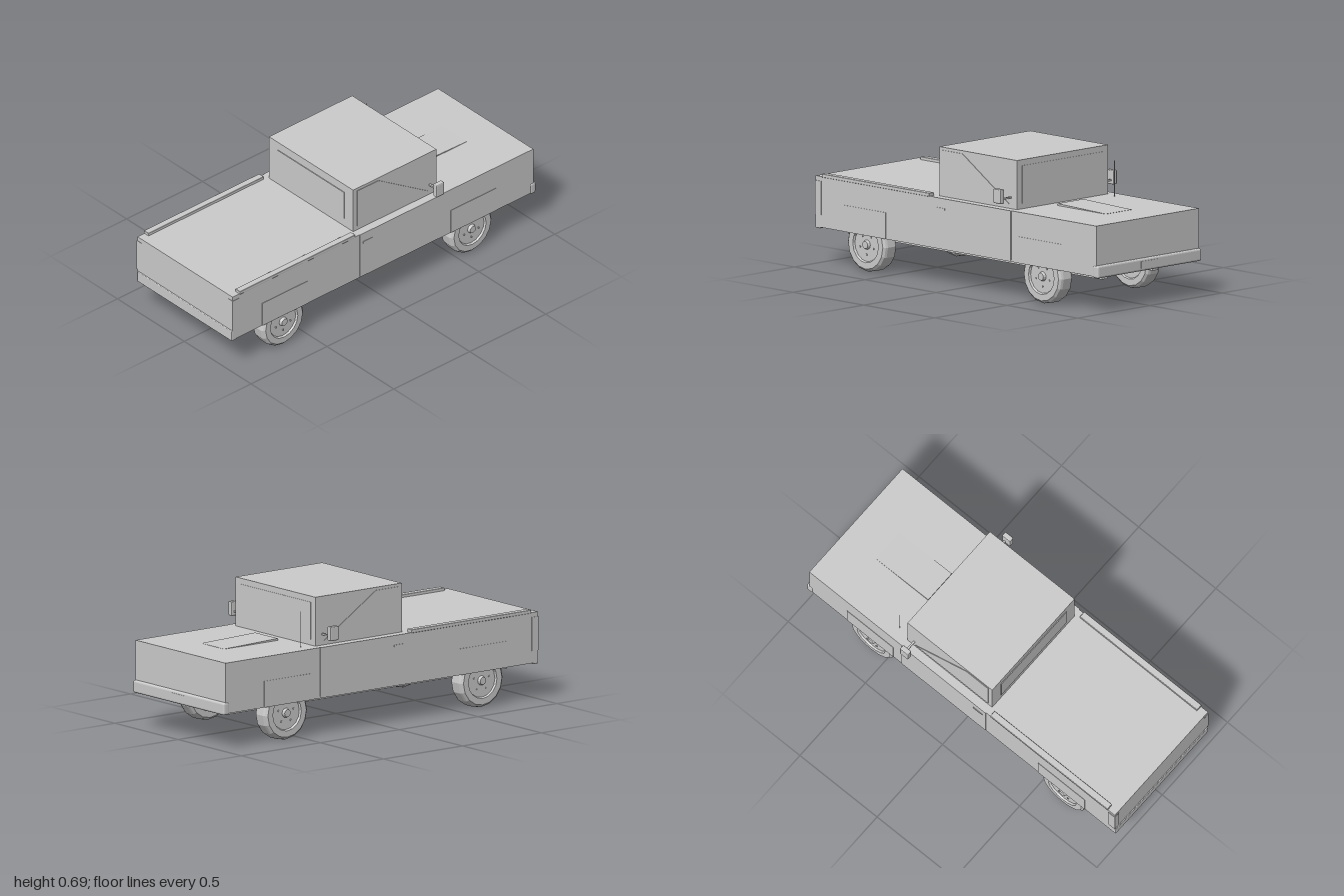
import * as THREE from 'three';
import { RoundedBoxGeometry } from 'three/addons/geometries/RoundedBoxGeometry.js';

const grey = new THREE.MeshStandardMaterial({ color: 0xcccccc, flatShading: true });

export function createModel() {
  const model = new THREE.Group();

  const add = (name, geometry, parent = model) => {
    const mesh = new THREE.Mesh(geometry, grey);
    mesh.name = name;
    parent.add(mesh);
    return mesh;
  };
  // Box given by its lower and upper limits on each axis; r rounds the edges
  const box = (name, [x0, x1], [y0, y1], [z0, z1], r = 0, parent = model) => {
    const size = [x1 - x0, y1 - y0, z1 - z0];
    const geometry = r ? new RoundedBoxGeometry(...size, 2, r) : new THREE.BoxGeometry(...size);
    geometry.translate((x0 + x1) / 2, (y0 + y1) / 2, (z0 + z1) / 2);
    return add(name, geometry, parent);
  };
  // Same box on both sides of the vehicle
  const pair = (name, [x0, x1], y, z, r) => {
    box(name + 'Left', [x0, x1], y, z, r);
    box(name + 'Right', [-x1, -x0], y, z, r);
  };

  // Body and cabin
  box('body', [-0.356, 0.356], [0.187, 0.443], [-0.985, 0.995]);
  box('cabin', [-0.315, 0.315], [0.44, 0.69], [-0.383, 0.165]);
  box('cabinWindow', [-0.25, 0.25], [0.49, 0.645], [0.16, 0.169]);
  box('windshield', [-0.28, 0.28], [0.47, 0.66], [-0.385, -0.38]);

  // Side glass with a slanted leading edge
  const glass = new THREE.Shape([
    [0.33, 0.465], [-0.14, 0.465], [-0.14, 0.675], [0, 0.675],
  ].map(([a, b]) => new THREE.Vector2(a, b)));
  for (const x of [-0.318, 0.314]) {
    const geometry = new THREE.ExtrudeGeometry(glass, { depth: 0.004, bevelEnabled: false });
    geometry.rotateY(Math.PI / 2).translate(x, 0, 0);
    add('sideWindow', geometry);
  }

  // Doors, handles, arch panels and corner lamps
  pair('door', [0.35, 0.36], [0.195, 0.443], [-0.385, 0.16]);
  pair('doorHandle', [0.355, 0.363], [0.385, 0.395], [0.08, 0.14]);
  pair('rearArch', [0.35, 0.358], [0.187, 0.32], [0.5, 0.8]);
  pair('frontArch', [0.35, 0.358], [0.187, 0.32], [-0.74, -0.44]);
  pair('cornerLamp', [0.325, 0.359], [0.25, 0.42], [0.955, 0.997]);

  // Bed rails
  pair('bedRail', [0.325, 0.36], [0.44, 0.458], [0.19, 0.95], 0.003);

  // Hood scoop, falling away toward the nose
  const scoop = new THREE.Shape();
  scoop.moveTo(0.44, 0.44).lineTo(0.44, 0.453).lineTo(0.78, 0.444).lineTo(0.78, 0.44);
  add('hoodScoop', new THREE.ExtrudeGeometry(scoop, { depth: 0.18, bevelEnabled: false })
    .rotateY(Math.PI / 2).translate(-0.09, 0, 0));

  // Antenna
  const antenna = add('antenna', new THREE.CylinderGeometry(0.0015, 0.0015, 0.18, 6));
  antenna.position.set(-0.29, 0.533, -0.455);

  // Bumpers, plate and lower valance
  box('noseBumper', [-0.36, 0.36], [0.18, 0.243], [-1, -0.963], 0.01);
  box('tailBumper', [-0.355, 0.355], [0.18, 0.241], [0.965, 1], 0.005);
  box('plate', [-0.06, 0.06], [0.195, 0.23], [-1.002, -0.99]);
  box('valance', [-0.33, 0.33], [0.18, 0.19], [-0.92, -0.79]);

  // Chassis rails
  pair('chassisRail', [0.156, 0.194], [0.138, 0.19], [-0.86, 0.93]);

  // Mirrors
  pair('mirrorArm', [0.31, 0.382], [0.495, 0.503], [-0.344, -0.334]);
  pair('mirror', [0.377, 0.404], [0.478, 0.55], [-0.358, -0.306], 0.005);

  // Wheels: lathe profile from inner hub to outer hub, turned to lie along x
  const profile = [
    [0, -0.038], [0.085, -0.038], [0.09, -0.046], [0.122, -0.046], [0.133, -0.036],
    [0.137, -0.024], [0.137, 0.024], [0.133, 0.036], [0.122, 0.046], [0.09, 0.046],
    [0.085, 0.036], [0, 0.036],
  ].map(([r, h]) => new THREE.Vector2(r, h));
  for (const side of [1, -1]) {
    for (const z of [0.65, -0.59]) {
      const wheel = new THREE.Group();
      wheel.name = 'wheel';
      add('tire', new THREE.LatheGeometry(profile, 16), wheel);
      add('hubCap', new THREE.CylinderGeometry(0.019, 0.025, 0.016, 12).translate(0, 0.042, 0), wheel);
      for (let i = 0; i < 5; i++) {
        const a = (i / 5) * Math.PI * 2;
        add('wheelNut', new THREE.CylinderGeometry(0.005, 0.005, 0.006, 6)
          .translate(0.05 * Math.cos(a), 0.038, 0.05 * Math.sin(a)), wheel);
      }
      wheel.rotation.z = -side * Math.PI / 2;
      wheel.position.set(side * 0.304, 0.138, z);
      model.add(wheel);
    }
  }
  return model;
}
